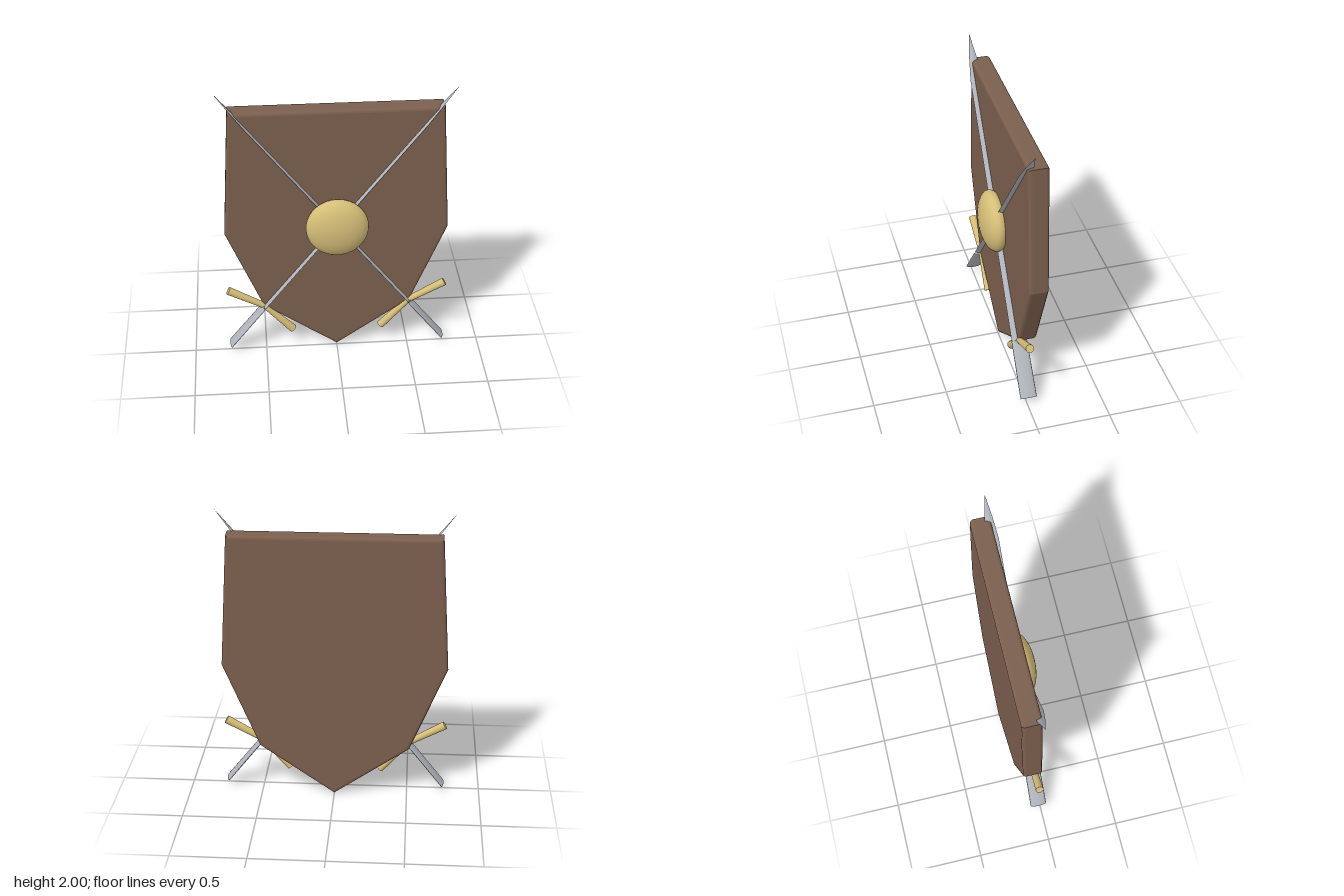
import * as THREE from 'three';

const mat = (name, color) => {
  const m = new THREE.MeshStandardMaterial({ color });
  m.name = name;
  return m;
};

function part(parent, name, geometry, material) {
  const mesh = new THREE.Mesh(geometry, material);
  mesh.name = name;
  parent.add(mesh);
  return mesh;
}

// Turned profile flattened sideways; optionally faceted
function flatLathe(profile, sides, thinness, faceted) {
  const points = profile.map(([r, y]) => new THREE.Vector2(r, y));
  let g = new THREE.LatheGeometry(points, sides);
  g.scale(thinness, 1, 1);
  if (faceted) {
    g = g.toNonIndexed();
    g.computeVertexNormals();
  }
  return g;
}

// Sword along +y, edge facing forward, with a bent crossguard
function makeSword(name, steel, brass) {
  const sword = new THREE.Group();
  sword.name = name;
  const guardY = 0.393;

  part(sword, 'grip', flatLathe([[0, 0], [0.057, 0], [0.054, guardY]], 16, 0.25, false), steel);
  part(sword, 'blade', flatLathe([[0.052, guardY], [0.042, 2.17], [0.026, 2.32], [0.002, 2.476]], 4, 0.2, true), steel);

  // Two arms sloping back toward the grip
  for (const side of [-1, 1]) {
    const g = new THREE.CylinderGeometry(0.028, 0.021, 0.285, 16);
    g.translate(0, 0.1425, 0);
    const arm = part(sword, side < 0 ? 'guardArmRight' : 'guardArmLeft', g, brass);
    arm.position.y = guardY;
    arm.rotation.z = -side * (Math.PI / 2 + 0.157);
  }
  return sword;
}

export function createModel() {
  const model = new THREE.Group();
  model.name = 'shieldWithSwords';
  const wood = mat('brown wood', 0x7b5f4e);
  const brass = mat('pale brass', 0xd6be78);
  const steel = mat('steel', 0xb2b6be);

  // Shield board with softened edges
  const outline = [[0, 0.005], [0.51, 0.36], [0.757, 0.955], [0.703, 1.865],
    [-0.703, 1.865], [-0.757, 0.955], [-0.51, 0.36]];
  const shape = new THREE.Shape(outline.map(([x, y]) => new THREE.Vector2(x, y)));
  const bevel = 0.022;
  const board = new THREE.ExtrudeGeometry(shape, {
    depth: 0.133 - 2 * bevel, bevelThickness: bevel, bevelSize: bevel,
    bevelOffset: -bevel, bevelSegments: 3,
  });
  board.translate(0, 0, bevel - 0.133);
  part(model, 'shieldBoard', board, wood);

  // Domed centre boss
  const boss = part(model, 'boss', new THREE.SphereGeometry(0.212, 32, 20), brass);
  boss.scale.z = 0.45;
  boss.position.set(0, 1.008, 0.034);

  // Crossed swords
  for (const side of [1, -1]) {
    const sword = makeSword(side > 0 ? 'leftSword' : 'rightSword', steel, brass);
    sword.position.set(side * 0.745, 0.05, -0.012);
    sword.rotation.z = side * 0.6637;
    model.add(sword);
  }
  return model;
}
